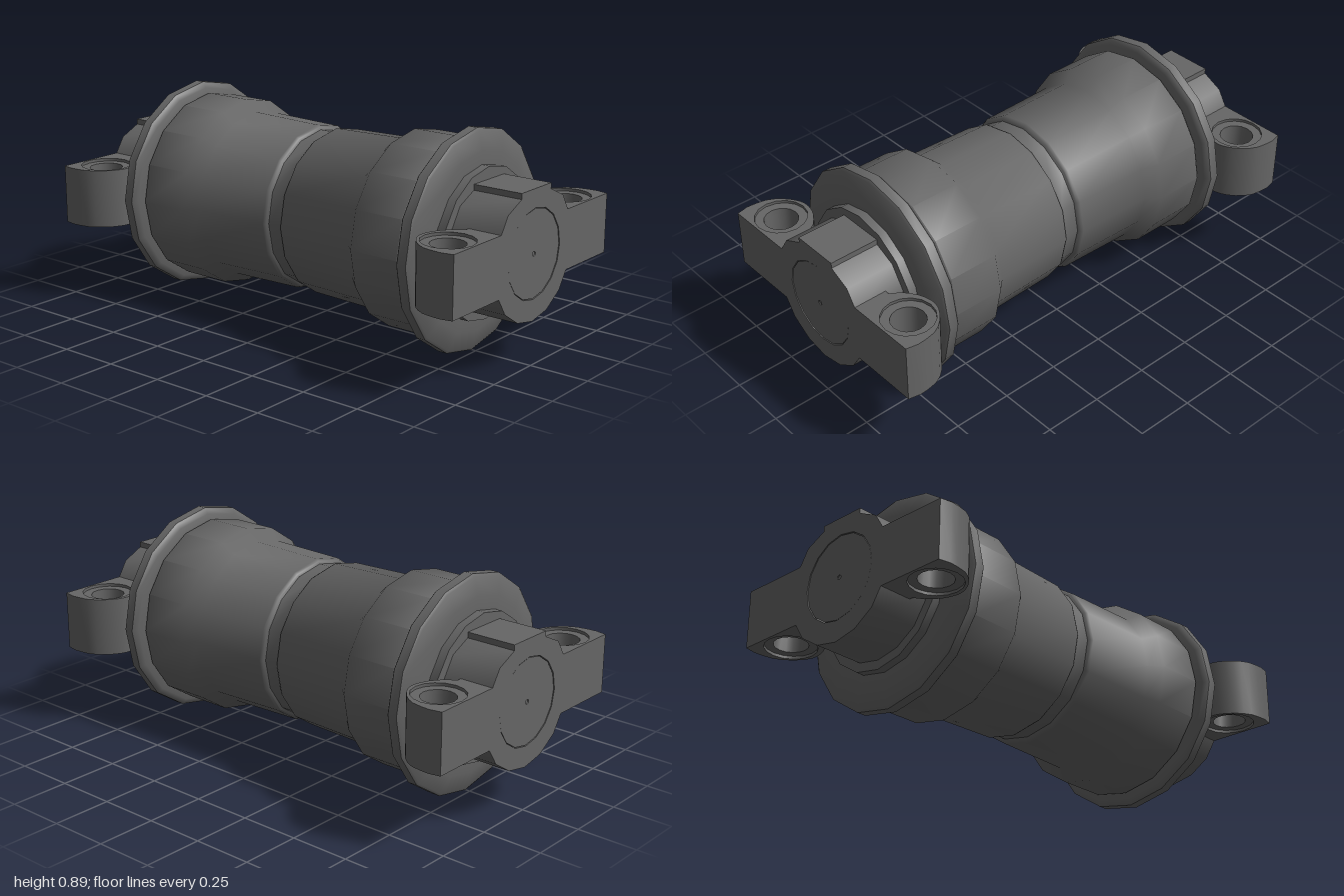
import * as THREE from 'three';
import { toCreasedNormals } from 'three/addons/utils/BufferGeometryUtils.js';

const AXIS_Y = 0.445;
const SIDES = 16;
const COLOR = 0x666666;
const material = new THREE.MeshStandardMaterial({ color: COLOR });
const thin = new THREE.MeshStandardMaterial({ color: COLOR, side: THREE.DoubleSide });

function mesh(name, geometry, mat = material, crease = 0.6) {
  const m = new THREE.Mesh(toCreasedNormals(geometry, crease), mat);
  m.name = name;
  return m;
}

// Turned part along x, from [x, radius] pairs in rising x
function turned(name, profile, crease) {
  const pts = profile.map(([x, r]) => new THREE.Vector2(r, x));
  return mesh(name, new THREE.LatheGeometry(pts, SIDES).rotateZ(-Math.PI / 2), material, crease);
}

function circleHole(x, y, r) {
  const pts = [];
  for (let i = 0; i < SIDES; i++) {
    const a = Math.PI / 2 + (i / SIDES) * Math.PI * 2;
    pts.push(new THREE.Vector2(x + r * Math.cos(a), y + r * Math.sin(a)));
  }
  return new THREE.Path(pts);
}

// Bearing block with a flat-topped key, cut as a cross-section along x
function bearingBlock() {
  const half = [[0.102, 0.255], [0.102, 0.232], [0.19, 0.19], [0.247, 0.1],
    [0.267, 0], [0.247, -0.102], [0.19, -0.19], [0.102, -0.247]];
  const outline = [...half, [0, -0.267], ...half.slice().reverse().map(([z, y]) => [-z, y])];
  const shape = new THREE.Shape(outline.map(([z, y]) => new THREE.Vector2(z, y)));
  shape.holes.push(circleHole(0, 0, 0.18));
  const g = new THREE.ExtrudeGeometry(shape, { depth: 0.215, bevelEnabled: false });
  return mesh('bearingBlock', g.rotateY(Math.PI / 2).translate(0.785, 0, 0));
}

// Mounting arm with rounded lug; side is +1 or -1 along z
function mountingArm(side) {
  const arm = new THREE.Group();
  arm.name = 'mountingArm';
  const rounded = [[0.95, 0.54], [0.87, 0.53], [0.81, 0.49], [0.772, 0.435],
    [0.764, 0.385], [0.782, 0.325], [0.82, 0.275]];
  const curve = new THREE.SplineCurve(rounded.map(([x, z]) => new THREE.Vector2(x, z * side)));
  const shape = new THREE.Shape([
    new THREE.Vector2(1, 0.19 * side),
    new THREE.Vector2(1, 0.53 * side),
    ...curve.getPoints(12),
    new THREE.Vector2(0.858, 0.25 * side),
    new THREE.Vector2(0.858, 0.19 * side),
  ]);
  shape.holes.push(circleHole(0.885, 0.4 * side, 0.105));
  const g = new THREE.ExtrudeGeometry(shape, { depth: 0.245, bevelEnabled: false });
  arm.add(mesh('lug', g.rotateX(Math.PI / 2).translate(0, 0.125, 0)));

  // Counterbored bolt hole lining
  const lining = [[0.105, -0.12], [0.105, -0.108], [0.069, -0.108],
    [0.069, 0.113], [0.105, 0.113], [0.105, 0.125]];
  const hole = mesh('boltHole', new THREE.LatheGeometry(
    lining.map(([r, y]) => new THREE.Vector2(r, y)), SIDES), thin);
  hole.position.set(0.885, 0, 0.4 * side);
  arm.add(hole);
  return arm;
}

function endAssembly() {
  const end = new THREE.Group();
  end.name = 'rollerEnd';
  end.add(turned('flange', [[0.665, 0.3], [0.67, 0.37], [0.675, 0.42], [0.685, 0.44],
    [0.69, 0.445], [0.73, 0.445], [0.737, 0.435], [0.755, 0.36], [0.755, 0.29]]));
  end.add(bearingBlock(), mountingArm(1), mountingArm(-1));
  end.add(turned('sealCollar', [[0.73, 0.305], [0.79, 0.305], [0.79, 0.17]]));
  // Shaft end with a shallow centre mark
  end.add(turned('shaftEnd', [[0.75, 0.177], [0.998, 0.177], [0.998, 0.01],
    [0.995, 0.008], [0.995, 0]]));
  return end;
}

export function createModel() {
  const model = new THREE.Group();
  model.name = 'trackRoller';
  const roller = new THREE.Group();
  roller.name = 'roller';
  roller.position.y = AXIS_Y;
  model.add(roller);

  // Tread with soft tapers and a centre groove, mirrored about x = 0
  const half = [[0.033, 0.327], [0.038, 0.338], [0.05, 0.345], [0.39, 0.353],
    [0.44, 0.4], [0.655, 0.4], [0.665, 0.39], [0.667, 0.37], [0.68, 0.37]];
  const profile = [...half.slice().reverse().map(([x, r]) => [-x, r]), ...half];
  roller.add(turned('tread', profile, 0.85));

  for (const turn of [0, Math.PI]) {
    const end = endAssembly();
    end.rotation.y = turn;
    roller.add(end);
  }
  return model;
}
